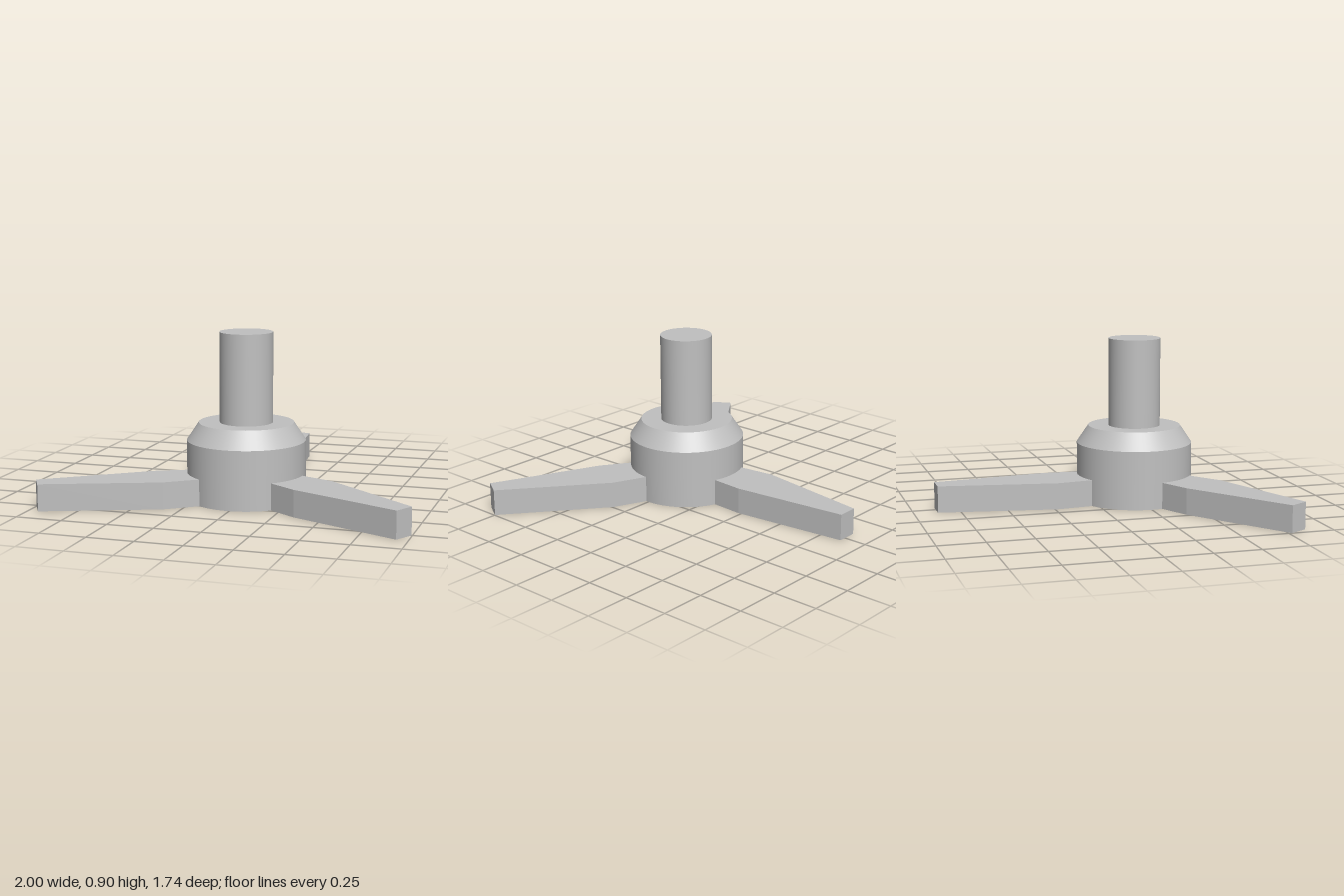
import * as THREE from 'three';

export function createModel() {
  const model = new THREE.Group();
  model.name = 'threeBladeRotor';
  const grey = new THREE.MeshStandardMaterial({ color: 0xc0c0c0 });
  grey.name = 'plain grey';

  // everything turns about the hub axis, which sits forward of the centre
  const rotor = new THREE.Group();
  rotor.name = 'rotor';
  rotor.position.set(-0.007, 0, 0.248);
  model.add(rotor);

  const add = (name, geometry) => {
    const mesh = new THREE.Mesh(geometry, grey);
    mesh.name = name;
    rotor.add(mesh);
    return mesh;
  };
  const round = (name, rTop, rBottom, y0, y1) => {
    add(name, new THREE.CylinderGeometry(rTop, rBottom, y1 - y0, 64)).position.y = (y0 + y1) / 2;
  };

  // hub, its chamfered shoulder and the shaft
  round('hub', 0.319, 0.319, 0, 0.32);
  round('hubShoulder', 0.255, 0.319, 0.32, 0.415);
  round('shaft', 0.143, 0.143, 0.4, 0.9);

  // slightly lopsided tapering blade, from inside the hub out to the tip
  const outline = new THREE.Shape([
    [-0.133, 0.2], [0.096, 0.2], [0.115, 0.483],
    [0.046, 1.12], [-0.066, 1.12], [-0.167, 0.483],
  ].map(([x, y]) => new THREE.Vector2(x, y)));
  const bladeGeometry = new THREE.ExtrudeGeometry(outline, { depth: 0.144, bevelEnabled: false });
  bladeGeometry.rotateX(-Math.PI / 2);

  for (let i = 0; i < 3; i++) {
    add('blade' + (i + 1), bladeGeometry).rotation.y = -i * Math.PI * 2 / 3;
  }
  return model;
}
